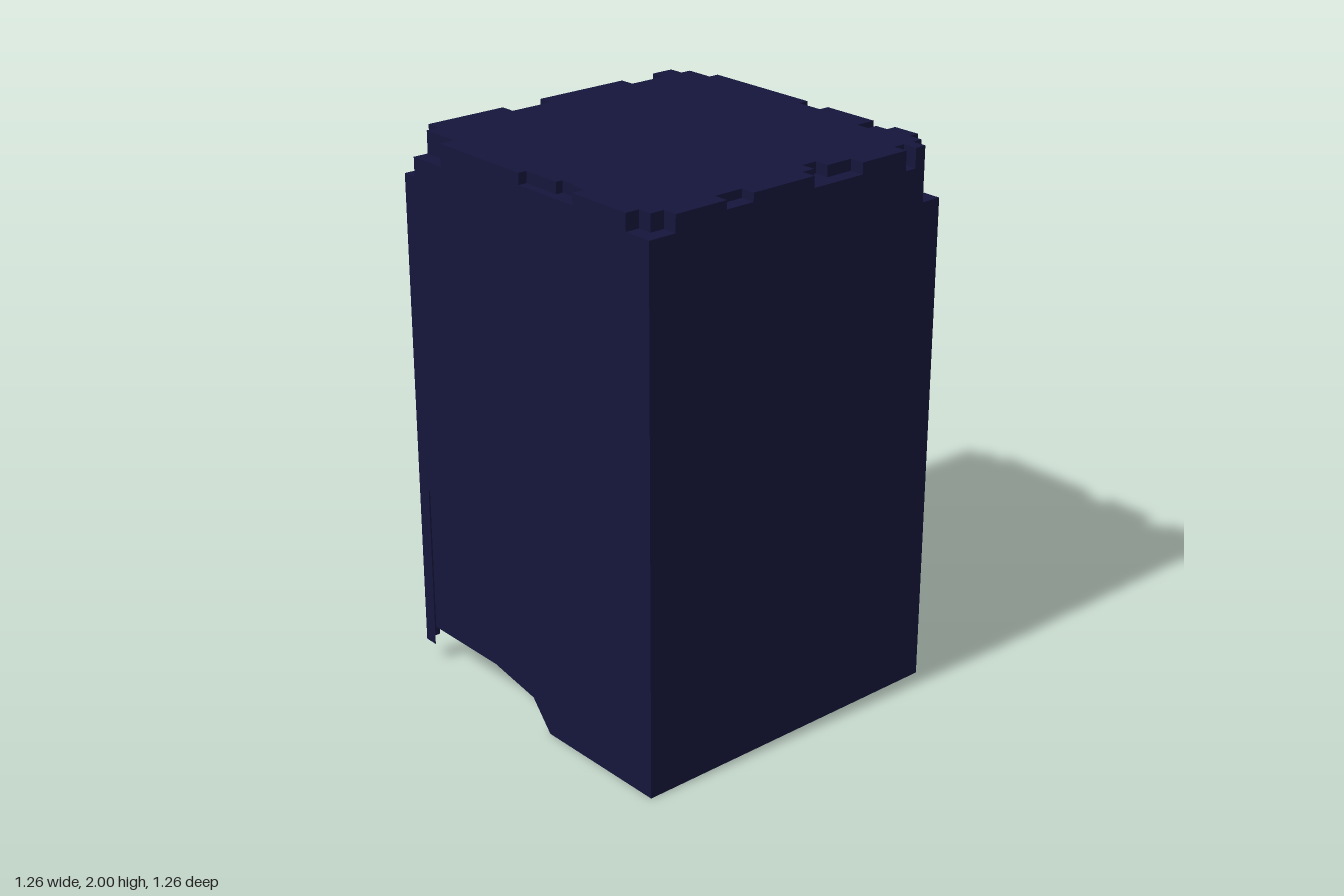
import * as THREE from 'three';

const H = 0.632; // half width of the square block
const TOP = 2;

// Notches chipped out of the top rim: x0, x1, z0, z1, depth
const notches = [
  // back rim and its corners
  [-H, -0.527, -H, -0.575, 0.15], [-H, -0.575, -H, -0.422, 0.08],
  [-0.215, -0.165, -H, -0.575, 0.09], [-0.165, -0.05, -H, -0.575, 0.07],
  [0.32, 0.465, -H, -0.575, 0.08],
  [0.553, H, -H, -0.575, 0.08], [0.593, H, -H, -0.467, 0.08],
  // right-hand rim
  [0.593, H, 0, 0.1, 0.07], [0.555, H, 0.32, 0.37, 0.07], [0.593, H, 0.37, 0.42, 0.07],
  // front rim and its corners
  [0.593, H, 0.525, H, 0.195], [0.553, H, 0.578, H, 0.195],
  [0.465, 0.51, 0.578, H, 0.07],
  [0.05, 0.265, 0.578, H, 0.04], [0.1, 0.16, 0.525, H, 0.04],
  [-0.32, -0.21, 0.578, H, 0.03],
  [-H, -0.527, 0.578, H, 0.06], [-H, -0.58, 0.525, H, 0.06],
  // left-hand rim
  [-H, -0.6, 0, 0.15, 0.04], [-H, -0.575, 0.15, 0.21, 0.04], [-H, -0.585, 0.21, 0.27, 0.04],
];

function topAt(x, z) {
  let depth = 0;
  for (const [x0, x1, z0, z1, d] of notches) {
    if (x > x0 && x < x1 && z > z0 && z < z1) depth = Math.max(depth, d);
  }
  return TOP - depth;
}

const breaks = (i) =>
  [...new Set([-H, H, ...notches.flatMap((n) => [n[i], n[i + 1]])])].sort((a, b) => a - b);
const xs = breaks(0);
const zs = breaks(2);

// Top surface with the notch floors and the upright steps around them
function topGeometry() {
  const pos = [];
  const quad = (a, b, c, d) => pos.push(...a, ...b, ...c, ...a, ...c, ...d);
  const cell = (i, j) => topAt((xs[i] + xs[i + 1]) / 2, (zs[j] + zs[j + 1]) / 2);
  for (let i = 0; i < xs.length - 1; i++) {
    for (let j = 0; j < zs.length - 1; j++) {
      const [x0, x1, z0, z1] = [xs[i], xs[i + 1], zs[j], zs[j + 1]];
      const y = cell(i, j);
      quad([x0, y, z0], [x0, y, z1], [x1, y, z1], [x1, y, z0]);
      if (i < xs.length - 2) {
        const n = cell(i + 1, j);
        if (n !== y) quad([x1, y, z1], [x1, n, z1], [x1, n, z0], [x1, y, z0]);
      }
      if (j < zs.length - 2) {
        const n = cell(i, j + 1);
        if (n !== y) quad([x0, y, z1], [x0, n, z1], [x1, n, z1], [x1, y, z1]);
      }
    }
  }
  const geo = new THREE.BufferGeometry();
  geo.setAttribute('position', new THREE.Float32BufferAttribute(pos, 3));
  geo.computeVertexNormals();
  return geo;
}

// One wall sheet: bottom edge from left to right, then the stepped top edge back
function wallGeometry(bottom, cuts, topOf) {
  const pts = bottom.map(([u, y]) => new THREE.Vector2(u, y));
  for (let i = cuts.length - 1; i > 0; i--) {
    const y = topOf((cuts[i] + cuts[i - 1]) / 2);
    pts.push(new THREE.Vector2(cuts[i], y), new THREE.Vector2(cuts[i - 1], y));
  }
  // drop points that lie on a straight run
  const outline = pts.filter((p, i) => {
    const a = pts[(i + pts.length - 1) % pts.length];
    const b = pts[(i + 1) % pts.length];
    return Math.abs((p.x - a.x) * (b.y - p.y) - (p.y - a.y) * (b.x - p.x)) > 1e-9;
  });
  return new THREE.ShapeGeometry(new THREE.Shape(outline)).translate(0, 0, H);
}

export function createModel() {
  const group = new THREE.Group();
  const material = new THREE.MeshStandardMaterial({ color: 0x15153b, side: THREE.DoubleSide });
  const add = (name, geometry, turn = 0) => {
    const mesh = new THREE.Mesh(geometry, material);
    mesh.name = name;
    mesh.rotation.y = turn;
    group.add(mesh);
  };

  add('notchedTop', topGeometry());

  const e = H - 0.001;
  const flip = (list) => list.map((v) => -v).reverse();
  const flat = [[-H, 0], [H, 0]];

  // Bottom edges broken away around one back corner
  const backBottom = [[-H, 0], [0.32, 0], [0.32, 0.15], [0.574, 0.15], [0.574, 0.07], [H, 0.07]];
  const sideBottom = [
    [-H, 0.07], [-0.578, 0.07], [-0.578, 0.69], [-0.57, 0.69], [-0.57, 0.145],
    [-0.21, 0.145], [0.005, 0.105], [0.095, 0], [H, 0],
  ];

  add('frontWall', wallGeometry(flat, xs, (u) => topAt(u, e)));
  add('leftWall', wallGeometry(flat, flip(zs), (u) => topAt(e, -u)), Math.PI / 2);
  add('backWall', wallGeometry(backBottom, flip(xs), (u) => topAt(-u, -e)), Math.PI);
  add('rightWall', wallGeometry(sideBottom, zs, (u) => topAt(-e, u)), -Math.PI / 2);

  return group;
}
